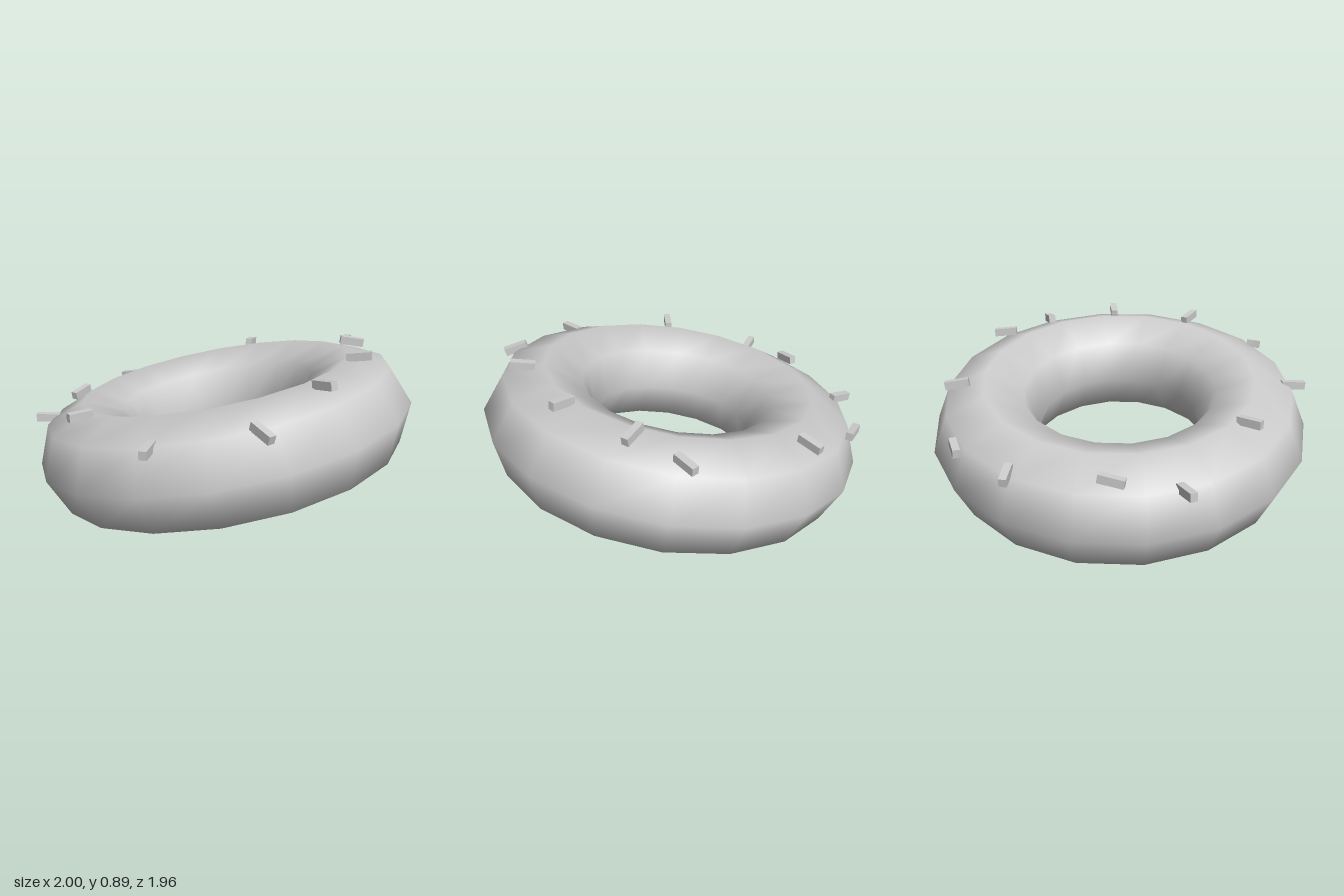
import * as THREE from 'three';

export function createModel() {
  const model = new THREE.Group();
  model.name = 'donut';
  const grey = new THREE.MeshStandardMaterial({ color: 0xcccccc });
  grey.name = 'light grey';

  // Ring, tilted down towards its right and front
  const ringGeometry = new THREE.TorusGeometry(0.714, 0.286, 8, 18).rotateX(Math.PI / 2);
  const ring = new THREE.Mesh(ringGeometry, grey);
  ring.name = 'ring';
  ring.rotation.order = 'ZYX';
  ring.rotation.set(0.104, 0, 0.174);
  ring.position.set(0.01, 0.427, -0.003);
  model.add(ring);

  // Sprinkles: centre x, y, z and the direction each one lies in
  const sprinkles = [
    [0.07, 0.785, -0.85, 0.07, 0.012, 0.11],
    [0.28, 0.845, -0.68, 0.085, -0.018, -0.1],
    [0.58, 0.868, -0.42, 0.11, 0.02, -0.085],
    [0.77, 0.845, 0, 0.12, 0.02, 0],
    [0.825, 0.727, 0.405, 0.12, -0.035, -0.006],
    [0.51, 0.636, 0.78, 0.08, -0.005, 0.1],
    [-0.08, 0.625, 0.8, -0.006, 0, 0.12],
    [-0.59, 0.458, 0.745, 0.06, -0.005, -0.1],
    [-0.755, 0.505, 0.46, 0.045, -0.02, 0.115],
    [-0.94, 0.487, 0.015, 0.11, 0.025, -0.055],
    [-0.885, 0.508, -0.355, 0.075, 0.015, -0.1],
    [-0.555, 0.678, -0.645, 0.075, 0.018, 0.1],
  ];
  const sprinkleGeometry = new THREE.BoxGeometry(0.037, 0.042, 0.125);
  const group = new THREE.Group();
  group.name = 'sprinkles';
  for (const [x, y, z, dx, dy, dz] of sprinkles) {
    const sprinkle = new THREE.Mesh(sprinkleGeometry, grey);
    sprinkle.name = 'sprinkle';
    sprinkle.position.set(x, y, z);
    sprinkle.lookAt(x + dx, y + dy, z + dz);
    group.add(sprinkle);
  }
  model.add(group);
  return model;
}
